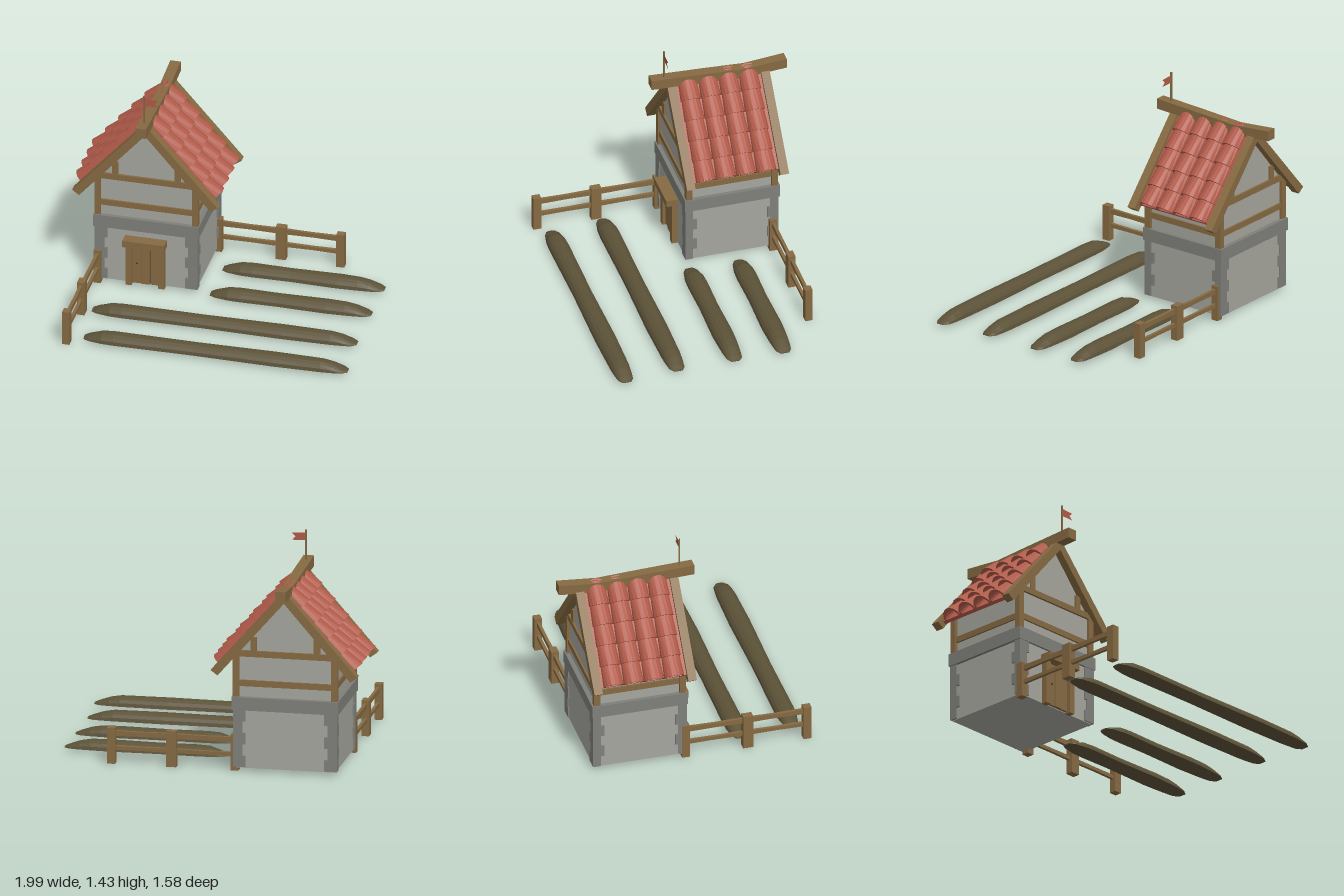
import * as THREE from 'three';

const mat = (name, color) => Object.assign(new THREE.MeshStandardMaterial({ color, flatShading: true }), { name });

export function createModel() {
  const wood = mat('wood', 0x866a42), stone = mat('stone', 0x7f7f7a), plaster = mat('plaster', 0xa5a69d);
  const red = mat('red clay', 0xb05a49), soil = mat('soil', 0x5c5238), dark = mat('dark iron', 0x3c3429);
  const cloth = red.clone();
  cloth.name = 'flag cloth';
  cloth.side = THREE.DoubleSide;

  const model = new THREE.Group();
  model.name = 'farmhouse';
  const add = (parent, name, geo, material, x = 0, y = 0, z = 0) => {
    const m = new THREE.Mesh(geo, material);
    m.name = name;
    m.position.set(x, y, z);
    parent.add(m);
    return m;
  };
  // box given by its limits on each axis
  const box = (parent, name, material, x0, x1, y0, y1, z0, z1) =>
    add(parent, name, new THREE.BoxGeometry(x1 - x0, y1 - y0, z1 - z0), material,
      (x0 + x1) / 2, (y0 + y1) / 2, (z0 + z1) / 2);
  const group = (parent, name) => {
    const g = new THREE.Group();
    g.name = name;
    parent.add(g);
    return g;
  };
  const extrude = (pts, depth) => new THREE.ExtrudeGeometry(
    new THREE.Shape(pts.map(p => new THREE.Vector2(...p))), { depth, bevelEnabled: false });

  const house = group(model, 'house');
  house.position.set(-0.515, 0, -0.337);

  // Ground floor, stone band and interlocking corner stones
  box(house, 'lowerWall', plaster, -0.325, 0.325, 0.025, 0.41, -0.3, 0.298);
  box(house, 'stoneBand', stone, -0.345, 0.345, 0.405, 0.49, -0.315, 0.312);
  for (const sx of [-1, 1]) for (const sz of [-1, 1]) for (let i = 0; i < 5; i++) {
    const w = i % 2 ? 0.062 : 0.082, d = i % 2 ? 0.075 : 0.05, h = 0.075;
    add(house, 'cornerStone', new THREE.BoxGeometry(w, h, d), stone,
      sx * (0.337 - w / 2), 0.03 + h * (i + 0.5), sz * (0.308 - d / 2));
  }

  // Upper floor with gables
  add(house, 'upperWall', extrude([[-0.318, 0.48], [0.318, 0.48], [0.318, 0.755], [0, 1.13], [-0.318, 0.755]], 0.57),
    plaster, 0, 0, -0.285);

  // Timber frame, the same on both ends and both sides
  for (const s of [-1, 1]) {
    const frame = group(house, s > 0 ? 'frontTimber' : 'backTimber');
    frame.rotation.y = s > 0 ? 0 : Math.PI;
    box(frame, 'lowerBeam', wood, -0.31, 0.31, 0.56, 0.6, 0.27, 0.297);
    box(frame, 'upperBeam', wood, -0.325, 0.325, 0.755, 0.795, 0.27, 0.3);
    for (const sx of [-1, 1]) {
      const p = sx * 0.319, q = sx * 0.205;
      box(frame, 'cornerPost', wood, p - 0.02, p + 0.02, 0.49, 0.76, 0.262, 0.303);
      box(frame, 'gableStud', wood, q - 0.02, q + 0.02, 0.79, 0.885, 0.27, 0.297);
    }
    box(frame, 'sideBeam', wood, 0.3, 0.33, 0.56, 0.6, -0.27, 0.27);
    add(frame, 'rafters', extrude([[-0.475, 0.665], [-0.43, 0.632], [0, 1.127], [0.43, 0.632], [0.475, 0.665], [0, 1.205]], 0.056),
      wood, 0, 0, 0.281);
  }

  // Arched clay tile: shrinks toward its upper end
  const arch = (rx, ry, n = 8) => Array.from({ length: n + 1 }, (_, i) =>
    [rx * Math.cos(Math.PI * i / n), ry * Math.sin(Math.PI * i / n)]);
  const tile = extrude([...arch(0.067, 0.075), ...arch(0.054, 0.058).reverse()], 0.155);
  const tp = tile.attributes.position;
  for (let i = 0; i < tp.count; i++) {
    const t = tp.getZ(i) / 0.155;
    tp.setX(i, tp.getX(i) * (1 - 0.1 * t));
    tp.setY(i, tp.getY(i) * (1 - 0.42 * t));
  }
  tile.computeVertexNormals();

  // Two roof slopes; inside a slope z runs up the roof and y points out of it
  const up = new THREE.Vector3(0.655, 0.756, 0).normalize();
  const out = new THREE.Vector3(-up.y, up.x, 0);
  for (const side of [0, 1]) {
    const half = group(house, side ? 'rightRoof' : 'leftRoof');
    half.rotation.y = side * Math.PI;
    const slope = group(half, 'slope');
    slope.position.set(-0.425, 0.68, 0);
    slope.quaternion.setFromRotationMatrix(new THREE.Matrix4().makeBasis(new THREE.Vector3(0, 0, -1), out, up));
    box(slope, 'roofBoard', red, -0.282, 0.282, -0.018, 0.004, 0, 0.645);
    for (let r = 0; r < 5; r++) for (let c = 0; c < 4; c++)
      add(slope, 'roofTile', tile, red, (c - 1.5) * 0.133, 0, r * 0.131);
  }

  // Sagging ridge beam
  const ridge = extrude([[0.442, 1.17], [0.442, 1.238], [0.1, 1.224], [-0.185, 1.21], [-0.45, 1.235],
    [-0.45, 1.167], [-0.185, 1.145], [0.1, 1.157]], 0.068);
  ridge.rotateY(-Math.PI / 2);
  add(house, 'ridgeBeam', ridge, wood, 0.034, 0, 0);

  // Flag
  const flag = group(house, 'flag');
  box(flag, 'pole', wood, -0.005, 0.005, 1.22, 1.43, 0.347, 0.357);
  add(flag, 'pennant', new THREE.ShapeGeometry(new THREE.Shape([[0, 1.36], [0.092, 1.358], [0.068, 1.382],
    [0.092, 1.405], [0, 1.41]].map(p => new THREE.Vector2(...p)))), cloth, 0, 0, 0.352);

  // Door with planks, jambs and lintel
  const door = group(house, 'door');
  box(door, 'lintel', wood, -0.138, 0.136, 0.315, 0.36, 0.295, 0.376);
  box(door, 'doorBack', dark, -0.1, 0.1, 0.03, 0.315, 0.295, 0.304);
  for (const s of [-1, 1]) box(door, 'jamb', wood, s * 0.107 - 0.02, s * 0.107 + 0.02, 0.02, 0.32, 0.295, 0.337);
  for (let i = 0; i < 3; i++) {
    const x = (i - 1) * 0.058;
    box(door, 'plank', wood, x - 0.0275, x + 0.0275, 0.03, 0.315, 0.298, 0.315 + (i % 2) * 0.004);
  }
  box(door, 'handle', dark, -0.062, -0.054, 0.17, 0.178, 0.312, 0.322);

  // Fences, built along x: three posts and slightly bowed rails
  const fence = (name, x, z, angle) => {
    const f = group(model, name);
    f.position.set(x, 0, z);
    f.rotation.y = angle;
    [[0, 0.05], [0.41, 0.066], [0.8, 0.052]].forEach(([px, w]) =>
      box(f, 'fencePost', wood, px - w / 2, px + w / 2, 0, 0.235, -0.024, 0.024));
    for (const start of [0, 0.41]) for (const [y, h] of [[0.102, 0.028], [0.198, 0.036]]) {
      const g = new THREE.BoxGeometry(0.4, h, 0.02, 4, 1, 1), p = g.attributes.position;
      for (let i = 0; i < p.count; i++) p.setY(i, p.getY(i) * (0.8 + 0.2 * Math.abs(p.getX(i)) / 0.2));
      add(f, 'fenceRail', g, wood, start + 0.2, y, 0);
    }
  };
  fence('rightFence', -0.185, -0.605, 0);
  fence('frontFence', -0.83, -0.035, -Math.PI / 2);

  // Ploughed soil ridges: half-round sections lofted along x with tapered ends
  const mound = (x0, x1, z) => {
    const L = x1 - x0, n = 8;
    const stations = [[0, 0.45, 0.12], [0.035, 0.72, 0.4], [0.12, 0.95, 0.9], [0.2, 1, 0.98], [L * 0.42, 0.93, 0.95],
      [L * 0.72, 1.04, 1], [L - 0.17, 0.95, 0.97], [L - 0.1, 0.88, 0.75], [L - 0.035, 0.75, 0.35], [L, 0.4, 0.1]];
    const pos = [], idx = [];
    for (const [x, w, h] of stations) for (let i = 0; i <= n; i++) {
      const a = Math.PI * i / n;
      pos.push(x0 + x, 0.02 + 0.06 * h * Math.sin(a), z + 0.066 * w * Math.cos(a));
    }
    const row = n + 1, last = (stations.length - 1) * row;
    for (let s = 0; s < stations.length - 1; s++) for (let i = 0; i < row; i++) {
      const j = (i + 1) % row, a = s * row + i, b = s * row + j;
      idx.push(a, a + row, b, b, a + row, b + row);
    }
    for (let i = 1; i < n; i++) idx.push(0, i, i + 1, last, last + i + 1, last + i);
    const g = new THREE.BufferGeometry();
    g.setAttribute('position', new THREE.Float32BufferAttribute(pos, 3));
    g.setIndex(idx);
    g.computeVertexNormals();
    add(model, 'soilRidge', g, soil);
  };
  mound(-0.73, 0.995, 0.7);
  mound(-0.765, 0.967, 0.352);
  mound(-0.09, 0.965, -0.028);
  mound(-0.09, 0.967, -0.352);

  return model;
}
